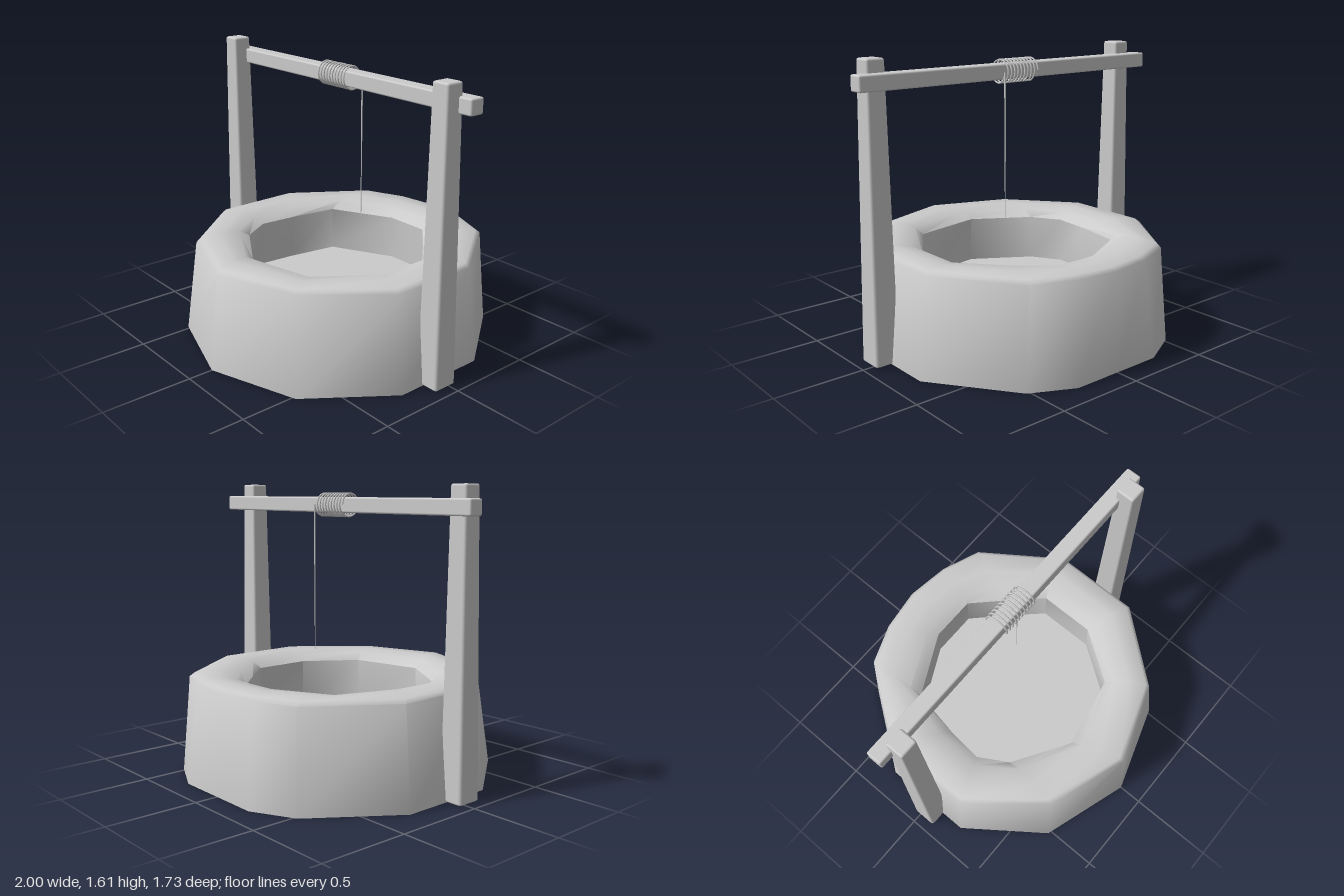
import * as THREE from 'three';
import { toCreasedNormals } from 'three/addons/utils/BufferGeometryUtils.js';
import { RoundedBoxGeometry } from 'three/addons/geometries/RoundedBoxGeometry.js';

const grey = new THREE.MeshStandardMaterial({ color: 0xcccccc });
const greyDouble = new THREE.MeshStandardMaterial({ color: 0xcccccc, side: THREE.DoubleSide });

// Irregular outlines as [x, z], from the front corner towards +x
const BASE = [[0, 0.86], [0.52, 0.69], [0.845, 0.25], [0.845, -0.3], [0.52, -0.75], [0.28, -0.87],
  [0, -0.87], [-0.28, -0.87], [-0.52, -0.75], [-0.845, -0.3], [-0.845, 0.25], [-0.52, 0.69]];
const RIM = [[0, 0.8], [0.46, 0.64], [0.79, 0.24], [0.79, -0.28], [0.48, -0.72], [0.25, -0.81],
  [0, -0.845], [-0.25, -0.81], [-0.48, -0.72], [-0.79, -0.28], [-0.79, 0.24], [-0.46, 0.64]];
const HOLE = [[-0.1, 0.5], [0.32, 0.42], [0.52, 0.13], [0.52, -0.2], [0.35, -0.38], [0.18, -0.55],
  [0.04, -0.55], [-0.09, -0.55], [-0.45, -0.37], [-0.5, -0.08], [-0.52, 0.13], [-0.42, 0.3]];

const blend = (a, b, t) => a.map(([x, z], i) => [x + (b[i][0] - x) * t, z + (b[i][1] - z) * t]);
const scaled = (a, s) => a.map(([x, z]) => [x * s, z * s]);

function add(group, name, geometry, material = grey) {
  const mesh = new THREE.Mesh(geometry, material);
  mesh.name = name;
  group.add(mesh);
  return mesh;
}

// Skin a stack of rings, each { y, ring }, with quads
function loft(levels) {
  const n = levels[0].ring.length;
  const positions = [], index = [];
  levels.forEach(({ y, ring }) => ring.forEach(([x, z]) => positions.push(x, y, z)));
  for (let j = 0; j < levels.length - 1; j++) {
    for (let i = 0; i < n; i++) {
      const a = j * n + i, b = j * n + (i + 1) % n;
      index.push(a, b, b + n, a, b + n, a + n);
    }
  }
  const g = new THREE.BufferGeometry();
  g.setAttribute('position', new THREE.Float32BufferAttribute(positions, 3));
  g.setIndex(index);
  return toCreasedNormals(g, 0.95);
}

export function createModel() {
  const model = new THREE.Group();
  model.name = 'well';

  // Hollow wall: outside, rounded rim, then inside down to the floor
  const floorY = 0.25, floorRing = scaled(HOLE, 1.02);
  add(model, 'wellWall', loft([
    { y: 0, ring: BASE },
    { y: 0.545, ring: RIM },
    { y: 0.565, ring: blend(RIM, HOLE, 0.08) },
    { y: 0.57, ring: blend(RIM, HOLE, 0.45) },
    { y: 0.555, ring: blend(RIM, HOLE, 0.8) },
    { y: 0.515, ring: HOLE },
    { y: floorY, ring: floorRing },
  ]), greyDouble);

  // Flat floor inside the shaft
  const floorShape = new THREE.Shape(floorRing.map(([x, z]) => new THREE.Vector2(x, -z)));
  const floor = add(model, 'wellFloor', new THREE.ShapeGeometry(floorShape).rotateX(-Math.PI / 2), greyDouble);
  floor.position.y = floorY;

  // Tapered posts, wider at the foot
  const height = 1.61;
  for (const side of [1, -1]) {
    const g = new RoundedBoxGeometry(0.104, height, 0.104, 2, 0.012).translate(0, height / 2, 0);
    const p = g.attributes.position;
    for (let i = 0; i < p.count; i++) {
      const s = 1 + 0.4 * (1 - p.getY(i) / height);
      p.setX(i, p.getX(i) * s);
      p.setZ(i, p.getZ(i) * s);
    }
    const post = add(model, side > 0 ? 'leftPost' : 'rightPost', g);
    post.position.set(side * 0.868, 0, 0.032);
  }

  // Crossbeam behind the posts
  const beam = add(model, 'crossbeam', new RoundedBoxGeometry(2, 0.085, 0.088, 2, 0.01));
  beam.position.set(0, 1.497, -0.036);

  // Rope coiled round the beam
  const turns = 10, steps = turns * 12, coil = [];
  for (let i = 0; i <= steps; i++) {
    const t = i / steps, a = -Math.PI / 2 + t * turns * Math.PI * 2;
    coil.push(new THREE.Vector3(-0.115 + 0.235 * t, 1.497 + 0.063 * Math.cos(a), -0.04 + 0.063 * Math.sin(a)));
  }
  add(model, 'ropeCoil', new THREE.TubeGeometry(new THREE.CatmullRomCurve3(coil), 240, 0.005, 6));

  // Rope end hanging into the shaft, thinning downwards
  const rope = add(model, 'hangingRope', new THREE.CylinderGeometry(0.005, 0.002, 0.82, 6));
  rope.position.set(0.12, 1.085, -0.102);

  return model;
}
